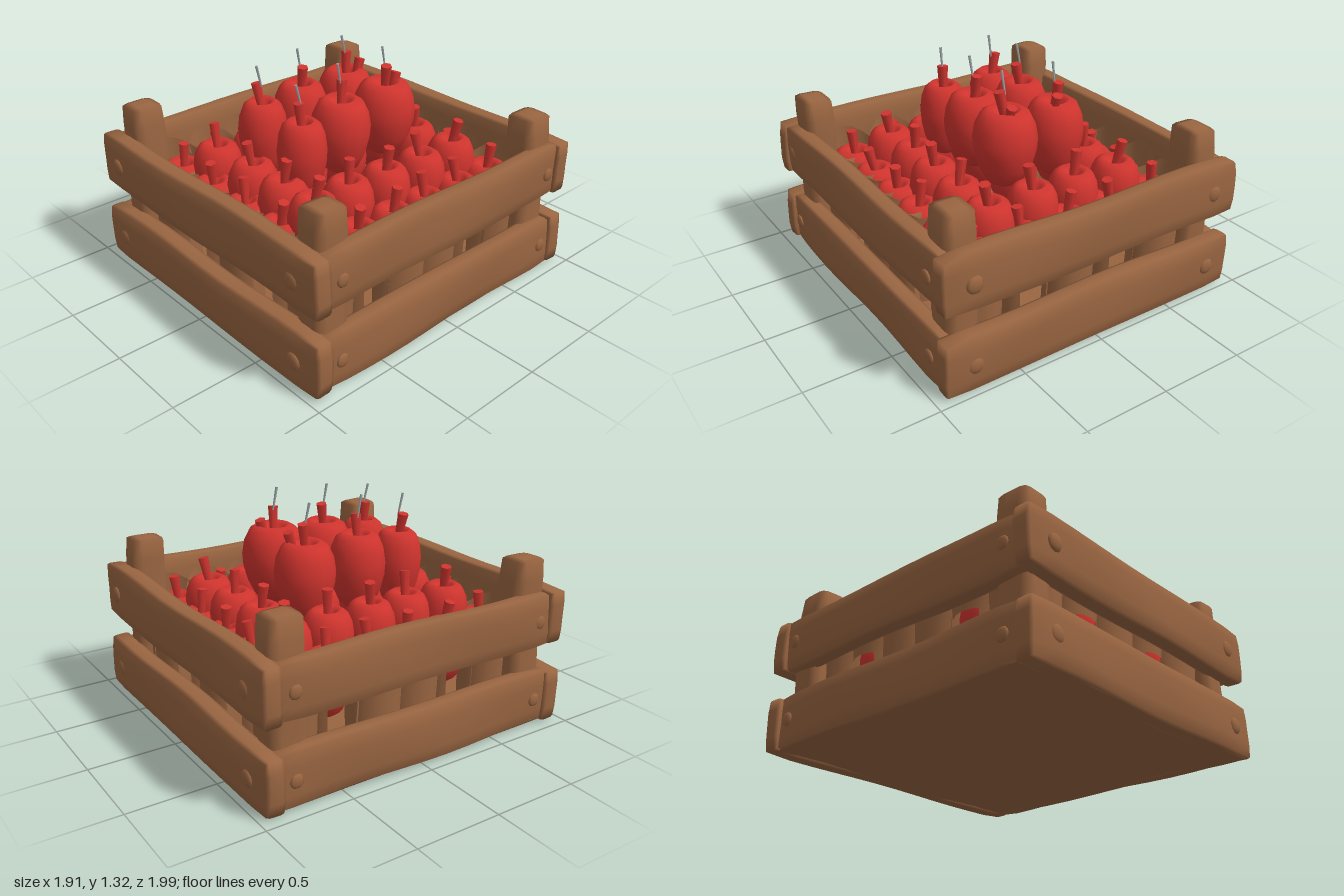
import * as THREE from 'three';
import { mergeVertices } from 'three/addons/utils/BufferGeometryUtils.js';

const wood = new THREE.MeshStandardMaterial({ color: 0x996541, side: THREE.DoubleSide });
wood.name = 'brown wood';
const red = new THREE.MeshStandardMaterial({ color: 0xd0342e, side: THREE.DoubleSide });
red.name = 'apple red';
const grey = new THREE.MeshStandardMaterial({ color: 0x9ba3a6 });
grey.name = 'grey twig';

function add(parent, name, geometry, material, x = 0, y = 0, z = 0) {
  const mesh = new THREE.Mesh(geometry, material);
  mesh.name = name;
  mesh.position.set(x, y, z);
  parent.add(mesh);
  return mesh;
}

// Hand-hewn timber: a subdivided box with softened edges and a slight wobble.
function timber(w, h, d, seed, r = 0.035) {
  let g = new THREE.BoxGeometry(w, h, d, w > 1 ? 12 : 4, h > 0.5 ? 8 : 4, d > 1 ? 12 : 4);
  g.deleteAttribute('uv');
  g.deleteAttribute('normal');
  g = mergeVertices(g);
  const half = new THREE.Vector3(w / 2 - r, h / 2 - r, d / 2 - r);
  const low = half.clone().negate();
  const pos = g.attributes.position, p = new THREE.Vector3(), core = new THREE.Vector3();
  for (let i = 0; i < pos.count; i++) {
    p.fromBufferAttribute(pos, i);
    core.copy(p).clamp(low, half);
    const out = p.clone().sub(core);
    if (out.lengthSq() > 0) p.copy(core).addScaledVector(out.normalize(), r);
    const along = p.x + p.z;
    p.x += 0.005 * Math.sin(9 * p.y + 5 * p.z + seed);
    p.y += 0.006 * Math.sin(5 * along + seed * 2);
    p.z += 0.005 * Math.sin(8 * p.y + 5 * p.x + seed * 3);
    pos.setXYZ(i, p.x, p.y, p.z);
  }
  g.computeVertexNormals();
  return g;
}

// Unit apple: radius 1, height 1, tapering to the base, with a dimple on top.
const appleGeometry = new THREE.LatheGeometry(
  [[0, 0.04], [0.35, 0], [0.62, 0.08], [0.84, 0.26], [0.97, 0.46], [1, 0.62], [0.93, 0.8],
    [0.76, 0.94], [0.52, 1], [0.32, 0.96], [0.16, 0.86], [0, 0.82]].map(([x, y]) => new THREE.Vector2(x, y)), 14);
const stemGeometry = new THREE.CylinderGeometry(0.032, 0.02, 0.17, 6);
stemGeometry.translate(0, 0.085, 0);
const twigGeometry = new THREE.CylinderGeometry(0.009, 0.006, 0.13, 4);
twigGeometry.translate(0, 0.065, 0);

function apple(parent, x, z, top, r, h, seed, twig = false) {
  const g = new THREE.Group();
  g.name = 'apple';
  g.position.set(x, top - h, z);
  parent.add(g);
  const body = add(g, 'appleBody', appleGeometry, red);
  body.scale.set(r, h, r);
  body.rotation.y = seed;
  const stem = add(g, 'appleStem', stemGeometry, red, 0, h * 0.84, 0);
  stem.rotation.set(0.12 * Math.sin(seed * 2), 0, 0.2 * Math.sin(seed * 5));
  if (twig) {
    const t = add(g, 'twig', twigGeometry, grey, 0, h * 0.84 + 0.15, 0.0);
    t.rotation.set(0.22, 0, 0.06 * Math.sin(seed));
  }
}

// Curved liner wall, facing +z; an arched one drops away at its sides.
function linerArc(r, y0, y1, start, length, arched) {
  const g = new THREE.CylinderGeometry(r, r * 0.88, y1 - y0, 8, 2, true, start, length);
  const pos = g.attributes.position;
  if (arched) for (let i = 0; i < pos.count; i++) {
    if (pos.getY(i) > 0.01) {
      const side = pos.getX(i) / r;
      pos.setY(i, pos.getY(i) - 0.1 * side * side);
    }
  }
  g.translate(0, (y0 + y1) / 2, 0);
  g.computeVertexNormals();
  return g;
}

export function createModel() {
  const model = new THREE.Group();
  model.name = 'appleCrate';
  const crate = new THREE.Group();
  crate.name = 'crate';
  model.add(crate);

  // Floor, slats, corner posts and peg heads
  add(crate, 'floor', timber(1.84, 0.08, 1.9, 1, 0.02), wood, 0, 0.06, 0);
  [0.18, 0.65].forEach((y, k) => {
    for (const s of [-1, 1]) {
      add(crate, 'frontBackSlat', timber(1.9, 0.32, 0.13, k + s * 2), wood, 0, y, s * 0.915);
      add(crate, 'sideSlat', timber(0.12, 0.31, 1.8, k * 2 + s), wood, s * 0.88, y, 0);
      for (const t of [-1, 1]) {
        const peg = add(crate, 'pegHead', new THREE.SphereGeometry(0.05, 8, 6), wood, t * 0.78, y, s * 0.975);
        peg.scale.z = 0.4;
        const sidePeg = add(crate, 'pegHead', new THREE.SphereGeometry(0.04, 8, 6), wood, s * 0.938, y, t * 0.79);
        sidePeg.scale.x = 0.35;
      }
    }
  });
  for (const sx of [-1, 1]) for (const sz of [-1, 1]) {
    add(crate, 'cornerPost', timber(0.18, 0.95, 0.2, sx + 2 * sz), wood, sx * 0.78, 0.515, sz * 0.78);
  }

  // Scalloped liner: one curved pocket around each outer apple
  const xs = [-0.6, -0.3, 0, 0.3, 0.6];
  const zs = [-0.66, -0.4, -0.13, 0.12, 0.38, 0.65];
  const liner = new THREE.Group();
  liner.name = 'liner';
  model.add(liner);
  const quarter = Math.PI / 2, slit = 0.6;
  function pocket(x, z, turn, r, open) {
    const parts = open
      ? [linerArc(r, 0.5, 0.73, -quarter, Math.PI, true),
        linerArc(r * 0.94, 0.1, 0.5, -quarter, quarter - slit, false),
        linerArc(r * 0.94, 0.1, 0.5, slit, quarter - slit, false)]
      : [linerArc(r, 0.1, 0.73, -quarter, Math.PI, true)];
    for (const g of parts) add(liner, 'linerPocket', g, wood, x, 0, z).rotation.y = turn;
  }
  for (const s of [-1, 1]) {
    xs.forEach((x, i) => pocket(x, s * 0.66, s > 0 ? 0 : Math.PI, 0.17, i % 2 === 1));
    zs.forEach((z, i) => pocket(s * 0.62, z, s * quarter, 0.18, i === 1 || i === 4));
  }

  // Bottom layer: a ring of apples along the walls
  const apples = new THREE.Group();
  apples.name = 'apples';
  model.add(apples);
  let n = 0;
  for (const x of xs) for (const z of zs) {
    const edge = Math.abs(x) > 0.5 || Math.abs(z) > 0.6;
    if (edge) apple(apples, x, z, 0.65, Math.abs(x) > 0.5 && Math.abs(z) < 0.5 ? 0.14 : 0.152, 0.36, n++);
  }

  // Middle layer
  const middle = [[-0.43, -0.54], [-0.15, -0.52], [0.13, -0.53], [0.42, -0.54], [-0.42, -0.27], [0.43, -0.27],
    [-0.43, 0], [0.42, 0], [-0.42, 0.25], [0.4, 0.26], [-0.43, 0.52], [-0.11, 0.51], [0.16, 0.51], [0.42, 0.52],
    [-0.04, -0.1], [-0.04, 0.21]];
  middle.forEach(([x, z]) => apple(apples, x, z, 0.79, 0.145, 0.37, n++));

  // Top layer: x, z, top height, radius
  const topLayer = [[-0.2, -0.27, 1.11, 0.17], [0.13, -0.27, 1.13, 0.18], [-0.21, 0.07, 1.11, 0.16],
    [0.12, 0.06, 1.11, 0.17], [-0.2, 0.36, 1.08, 0.14], [0.14, 0.36, 1.07, 0.14]];
  topLayer.forEach(([x, z, top, r]) => apple(apples, x, z, top, r, 0.44, n++, true));

  // Loose stems beside the two rear apples
  for (const x of [-0.16, 0.14]) {
    add(apples, 'looseStem', stemGeometry, red, x, 1.0, -0.3).rotation.x = -0.3;
  }
  return model;
}
